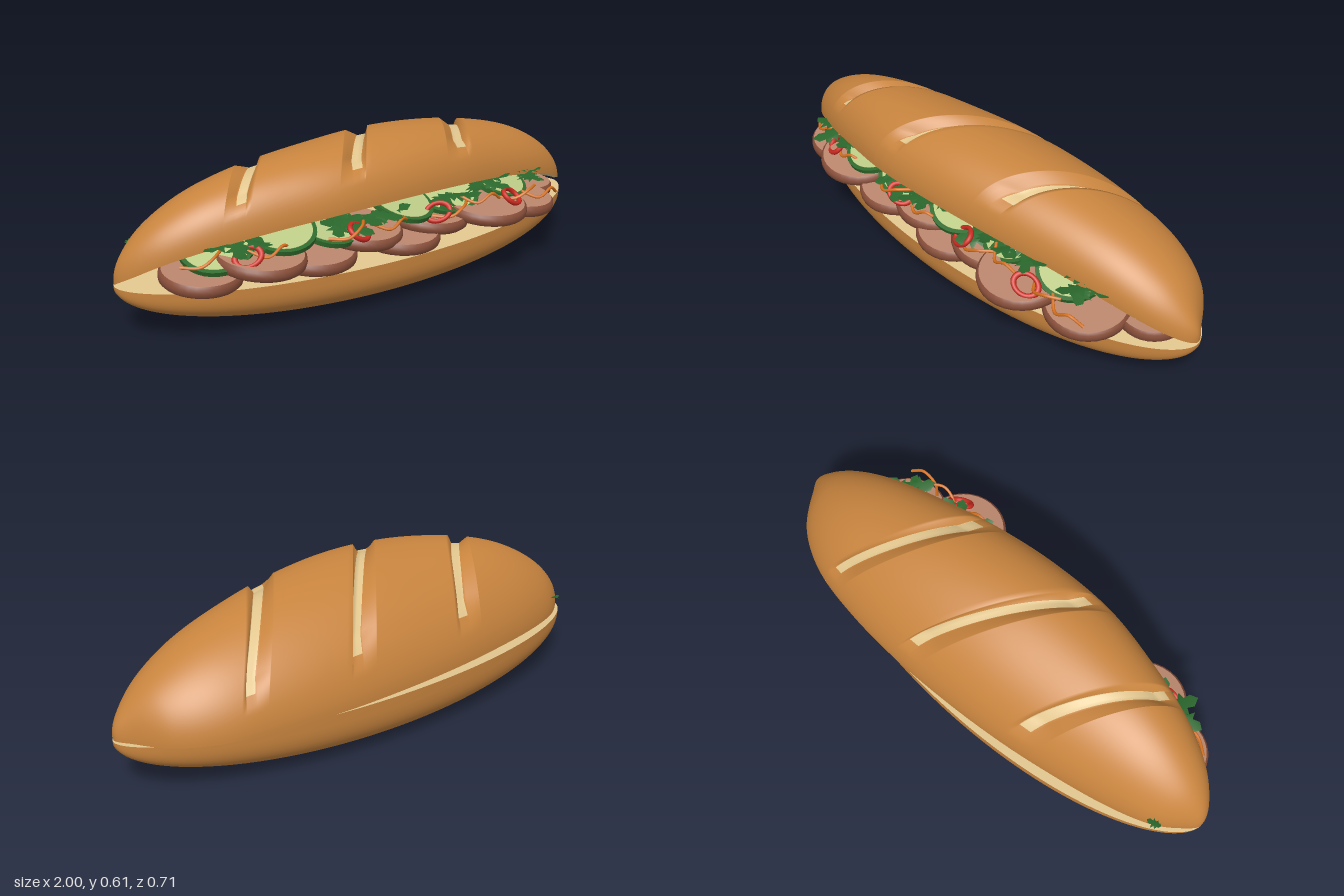
import * as THREE from 'three';

const mat = (name, color, side = THREE.FrontSide) => {
  const m = new THREE.MeshStandardMaterial({ color, side });
  m.name = name;
  return m;
};

// Top bun stations, evenly spaced in angle so that x = sin(angle)
const FRONT_Z = [-.04, .03, .11, .18, .235, .276, .272, .24, .19, .14, .082, .015, -.04];
const BACK_Z = [-.04, -.09, -.165, -.225, -.275, -.318, -.345, -.355, -.342, -.305, -.225, -.1, -.04];
const FRONT_Y = [.205, .245, .3, .345, .378, .4, .403, .39, .363, .325, .275, .228, .205];
const CROWN_Y = [.22, .32, .42, .505, .56, .592, .605, .587, .545, .485, .4, .3, .22];

// Smooth lookup in a station table
function at(table, x) {
  const f = (Math.asin(THREE.MathUtils.clamp(x, -1, 1)) / Math.PI + .5) * (table.length - 1);
  const i = Math.min(Math.floor(f), table.length - 2), t = f - i;
  const p1 = table[i], p2 = table[i + 1];
  const p0 = table[i - 1] ?? 2 * p1 - p2, p3 = table[i + 2] ?? 2 * p2 - p1;
  return p1 + .5 * t * (p2 - p0 + t * (2 * p0 - 5 * p1 + 4 * p2 - p3 + t * (3 * (p1 - p2) + p3 - p0)));
}

function section(x) {
  const zf = at(FRONT_Z, x), zb = at(BACK_Z, x), yf = at(FRONT_Y, x);
  const yb = .205 + .06 * (-.04 - zb);
  const mid = (yf + yb) / 2, dy = (yf - yb) / 2;
  const h = Math.sqrt(Math.max((at(CROWN_Y, x) - mid) ** 2 - dy * dy, 0));
  return { zm: (zf + zb) / 2, dz: (zf - zb) / 2, mid, dy, h };
}

// Surface from a grid of points; pick(u, v) chooses the material of each cell
function patch(name, columns, rows, point, materials, pick = () => 0) {
  const pos = [], lists = materials.map(() => []);
  for (const u of columns) for (let j = 0; j <= rows; j++) pos.push(...point(u, j / rows));
  for (let i = 0; i < columns.length - 1; i++) for (let j = 0; j < rows; j++) {
    const a = i * (rows + 1) + j, b = a + rows + 1;
    lists[pick((columns[i] + columns[i + 1]) / 2, (j + .5) / rows)].push(a, b, b + 1, a, b + 1, a + 1);
  }
  const g = new THREE.BufferGeometry();
  g.setAttribute('position', new THREE.Float32BufferAttribute(pos, 3));
  g.setIndex(lists.flat());
  let start = 0;
  lists.forEach((l, k) => { g.addGroup(start, l.length, k); start += l.length; });
  g.computeVertexNormals();
  const mesh = new THREE.Mesh(g, materials);
  mesh.name = name;
  return mesh;
}

export function createModel() {
  const model = new THREE.Group();
  model.name = 'bakedRollSandwich';
  const crust = mat('crust', 0xc8843e), crumb = mat('crumb', 0xe2c68e, THREE.DoubleSide);
  const meatFace = mat('meatFace', 0xba866c), meatRim = mat('meatRim', 0x894f3a);
  const leafGreen = mat('leafGreen', 0x2a672c, THREE.DoubleSide);
  const skin = mat('cucumberSkin', 0x2f6a2c), flesh = mat('cucumberFlesh', 0xbccb86);
  const red = mat('chiliRed', 0xcc2a20), orange = mat('carrotOrange', 0xd8721e);

  const add = (parent, name, geo, material, p = [0, 0, 0], r = [0, 0, 0], s = [1, 1, 1]) => {
    const m = new THREE.Mesh(geo, material);
    m.name = name;
    m.position.set(...p); m.rotation.set(...r); m.scale.set(...s);
    parent.add(m);
  };

  const even = Array.from({ length: 121 }, (_, i) => Math.sin((i / 120 - .5) * Math.PI));

  // Top bun: domed crust with three diagonal scores
  const scores = [-.47, 0, .46];
  const steps = [[-.075, 0], [-.022, 1], [.02, 1], [.028, 0]];
  const depth = s => {
    for (const c of scores) for (let k = 0; k < 3; k++) {
      const [d0, v0] = steps[k], [d1, v1] = steps[k + 1], d = s - c;
      if (d >= d0 && d <= d1) return v0 + (v1 - v0) * (d - d0) / (d1 - d0);
    }
    return 0;
  };
  const columns = [...even, ...scores.flatMap(c => steps.map(([d]) => c + d))]
    .sort((a, b) => a - b).filter((v, i, l) => i === 0 || v - l[i - 1] > 1e-6);
  const dome = (s, v) => {
    const c = Math.cos(v * Math.PI), x = s - .23 * c * (1 - s * s), q = section(x);
    const fade = THREE.MathUtils.clamp((.92 - Math.abs(c)) / .22, 0, 1);
    const k = 1 - .11 * depth(s) * fade;
    return [x, q.mid + (q.dy * c + q.h * Math.sin(v * Math.PI)) * k, q.zm + q.dz * c * k];
  };
  const scored = (s, v) =>
    scores.some(c => s > c - .022 && s < c + .02) && Math.abs(Math.cos(v * Math.PI)) < .83 ? 1 : 0;
  const topBun = new THREE.Group();
  topBun.name = 'topBun';
  topBun.add(patch('topCrust', columns, 64, dome, [crust, crumb], scored));
  topBun.add(patch('topCutFace', even, 6, (x, v) => {
    const q = section(x), c = 2 * v - 1;
    return [x, q.mid + q.dy * c, q.zm + q.dz * c];
  }, [crumb]));
  model.add(topBun);

  // Bottom bun: squarer section under a slightly tilted cut
  const half = x => .318 * Math.max(1 - x * x, 0) ** .58;
  const cutY = z => .196 - .06 * (z + .04);
  const power = (v, e) => Math.sign(v) * Math.abs(v) ** e;
  const bottomBun = new THREE.Group();
  bottomBun.name = 'bottomBun';
  bottomBun.add(patch('bottomCrust', even, 40, (x, v) => {
    const z = -.04 - half(x) * power(Math.cos(v * Math.PI), .7);
    const drop = Math.max(1 - x * x, 0) ** .45 * power(Math.max(Math.sin(v * Math.PI), 0), .65);
    return [x, cutY(z) * (1 - drop), z];
  }, [crust]));
  bottomBun.add(patch('bottomCutFace', even, 6, (x, v) => {
    const z = -.04 + half(x) * (1 - 2 * v);
    return [x, cutY(z), z];
  }, [crumb]));
  model.add(bottomBun);

  // Meat slices: [x, y, z, radius], overlapping and tipped toward the opening
  const meats = new THREE.Group();
  meats.name = 'meatSlices';
  const rimGeo = new THREE.LatheGeometry([[.93, -.022], [.985, -.014], [1, 0], [.985, .014], [.93, .022]]
    .map(p => new THREE.Vector2(...p)), 32);
  const faceGeo = new THREE.CircleGeometry(.93, 32).rotateX(-Math.PI / 2);
  [[-.74, .222, .08, .145], [-.55, .262, .145, .165], [-.33, .225, .125, .165], [-.12, .262, .12, .16],
    [.03, .225, .15, .16], [.19, .258, .11, .165], [.41, .268, .19, .165], [.64, .228, .11, .155],
    [.81, .214, -.03, .12], [-.5, .214, -.1, .12], [-.1, .214, -.1, .12], [.35, .214, -.1, .12]]
    .forEach(([x, y, z, r], i) => {
      const slice = new THREE.Group();
      slice.name = 'meatSlice';
      slice.position.set(x, y, z);
      slice.rotation.set(z > 0 ? .11 : .04, 0, i % 2 ? -.07 : -.03);
      add(slice, 'meatEdge', rimGeo, meatRim, [0, 0, 0], [0, 0, 0], [r, 1, r]);
      add(slice, 'meatTop', faceGeo, meatFace, [0, .022, 0], [0, 0, 0], [r, 1, r]);
      add(slice, 'meatUnderside', faceGeo, meatFace, [0, -.022, 0], [Math.PI, 0, 0], [r, 1, r]);
      meats.add(slice);
    });
  model.add(meats);

  // Cucumber slices, leaning out of the opening
  const cucumbers = new THREE.Group();
  cucumbers.name = 'cucumberSlices';
  const peel = new THREE.CylinderGeometry(.13, .13, .018, 32);
  const pulp = new THREE.CylinderGeometry(.115, .115, .022, 32);
  [[-.68, .305, .08, .2], [-.46, .338, .13, .05], [-.27, .315, .12, -.12], [.05, .342, .135, -.14],
    [.29, .32, .1, .1], [.55, .322, .09, -.16]].forEach(([x, y, z, roll]) => {
    const slice = new THREE.Group();
    slice.name = 'cucumberSlice';
    slice.position.set(x, y, z);
    slice.rotation.set(.36, 0, roll);
    add(slice, 'cucumberPeel', peel, skin);
    add(slice, 'cucumberPulp', pulp, flesh);
    cucumbers.add(slice);
  });
  model.add(cucumbers);

  // Herb leaves: jagged outlines, gently curled, fanned toward the front
  const outline = new THREE.Shape();
  outline.moveTo(0, 0);
  const edge = [[.02, .03], [.035, .02], [.05, .055], [.07, .03], [.095, .06], [.1, .025], [.135, .03]];
  edge.forEach(p => outline.lineTo(...p));
  outline.lineTo(.16, 0);
  [...edge].reverse().forEach(([x, y]) => outline.lineTo(x - .006, -y));
  const leafGeo = new THREE.ShapeGeometry(outline);
  const lp = leafGeo.attributes.position;
  for (let i = 0; i < lp.count; i++) lp.setZ(i, 1.4 * (lp.getX(i) - .08) ** 2 - 3 * lp.getY(i) ** 2);
  leafGeo.computeVertexNormals();
  let seed = 7;
  const rnd = () => (seed = (seed * 16807) % 2147483647) / 2147483647;
  const herbs = new THREE.Group();
  herbs.name = 'herbLeaves';
  [[-.63, .345, .16], [-.24, .35, .18], [-.1, .34, .18], [.24, .335, .17], [.4, .355, .165],
    [.67, .335, .13]].forEach(([x, y, z]) => {
    for (let k = 0; k < 4; k++) {
      add(herbs, 'herbLeaf', leafGeo, leafGreen, [x + (rnd() - .5) * .06, y + (rnd() - .5) * .02, z],
        [-1.8 + rnd() * .65, (rnd() - .5) * .4, -3 + k * .95 + (rnd() - .5) * .3], Array(3).fill(.65 + rnd() * .25));
    }
  });
  add(herbs, 'strayLeaf', leafGeo, leafGreen, [-.9, .29, -.165], [-1.3, 0, .3], [.35, .35, .35]);
  model.add(herbs);

  // Chili rings
  const chilis = new THREE.Group();
  chilis.name = 'chiliRings';
  const ring = new THREE.TorusGeometry(.042, .01, 8, 24);
  [[-.63, .3, .21], [-.2, .305, .235], [.15, .305, .235], [.49, .305, .255]].forEach(([x, y, z], i) =>
    add(chilis, 'chiliRing', ring, red, [x, y, z], [-.9, i % 2 ? .4 : -.4, 0], [1.1, .85, 1]));
  model.add(chilis);

  // Carrot shreds
  const carrots = new THREE.Group();
  carrots.name = 'carrotShreds';
  [[-.76, .3, .15], [-.54, .305, .21], [-.24, .315, .24], [-.06, .31, .24], [.22, .3, .24], [.36, .32, .23],
    [.55, .3, .23], [.66, .285, .235]].forEach(([x, y, z], i) => {
    const f = i % 2 ? 1 : -1;
    const path = new THREE.CatmullRomCurve3([[-.08, .012 * f, -.03], [-.03, -.012, .02], [.03, .015, .025],
      [.08, -.015 * f, .01 * f]].map(p => new THREE.Vector3(...p)));
    add(carrots, 'carrotShred', new THREE.TubeGeometry(path, 16, .006, 6), orange, [x, y, z], [0, (rnd() - .5) * .5, 0]);
  });
  model.add(carrots);

  return model;
}
